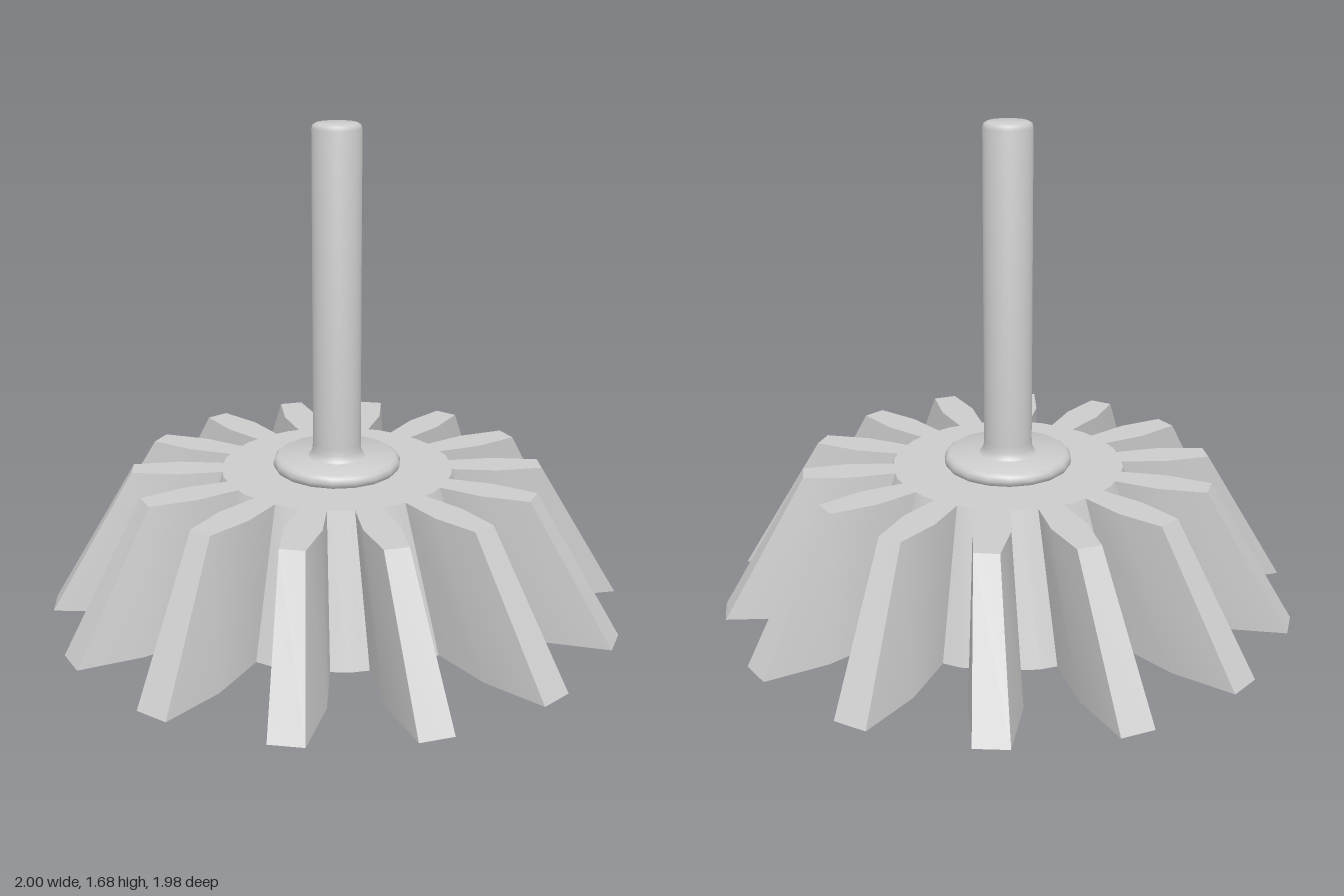
import * as THREE from 'three';
import { toCreasedNormals } from 'three/addons/utils/BufferGeometryUtils.js';

const TEETH = 14;
const HEIGHT = 0.49;
const TOP_SCALE = 0.71; // the gear narrows towards the top
const TWIST = 0.042; // the base is turned slightly against the top

// Outline of the gear at its base: root, pitch and tip points for each tooth
function gearShape() {
  const step = (Math.PI * 2) / TEETH;
  const points = [];
  const add = (r, a) => points.push(new THREE.Vector2(r * Math.cos(a), r * Math.sin(a)));
  const tooth = [
    [0.56, -0.11], [0.78, -0.11], [1, -0.058],
    [1, 0.058], [0.78, 0.11], [0.56, 0.11],
  ];
  for (let i = 0; i < TEETH; i++) {
    for (const [r, a] of tooth) add(r, i * step + a);
    add(0.565, (i + 0.5) * step); // middle of the gap
  }
  const shape = new THREE.Shape(points);
  const hole = new THREE.Path();
  hole.absarc(0, 0, 0.29, 0, Math.PI * 2, true);
  shape.holes.push(hole);
  return shape;
}

// Extruded outline, tapered and twisted along its height
function bevelGearGeometry() {
  const geo = new THREE.ExtrudeGeometry(gearShape(), {
    depth: HEIGHT, bevelEnabled: false, steps: 1, curveSegments: 28,
  });
  geo.rotateX(-Math.PI / 2);
  const pos = geo.attributes.position;
  const v = new THREE.Vector3();
  const up = new THREE.Vector3(0, 1, 0);
  for (let i = 0; i < pos.count; i++) {
    v.fromBufferAttribute(pos, i);
    const t = v.y / HEIGHT;
    const s = 1 + (TOP_SCALE - 1) * t;
    v.x *= s;
    v.z *= s;
    v.applyAxisAngle(up, TWIST * (1 - t));
    pos.setXYZ(i, v.x, v.y, v.z);
  }
  return toCreasedNormals(geo, 0.4);
}

function lathe(profile, segments) {
  const geo = new THREE.LatheGeometry(profile.map(([r, y]) => new THREE.Vector2(r, y)), segments);
  return toCreasedNormals(geo, 0.9);
}

export function createModel() {
  const group = new THREE.Group();
  const material = new THREE.MeshStandardMaterial({ color: 0xcccccc });
  const addPart = (name, geo) => {
    const mesh = new THREE.Mesh(geo, material);
    mesh.name = name;
    group.add(mesh);
  };

  addPart('bevelGear', bevelGearGeometry());

  // Rounded collar that closes the bore
  addPart('collar', lathe([
    [0, 0.485], [0.205, 0.485], [0.217, 0.495], [0.222, 0.51],
    [0.217, 0.525], [0.205, 0.534], [0, 0.534],
  ], 18));

  // Shaft with a small fillet at the foot and a rounded top edge
  addPart('shaft', lathe([
    [0.105, 0.53], [0.092, 0.538], [0.085, 0.555], [0.083, 0.58],
    [0.083, 1.66], [0.079, 1.672], [0.068, 1.678], [0, 1.678],
  ], 32));

  return group;
}
